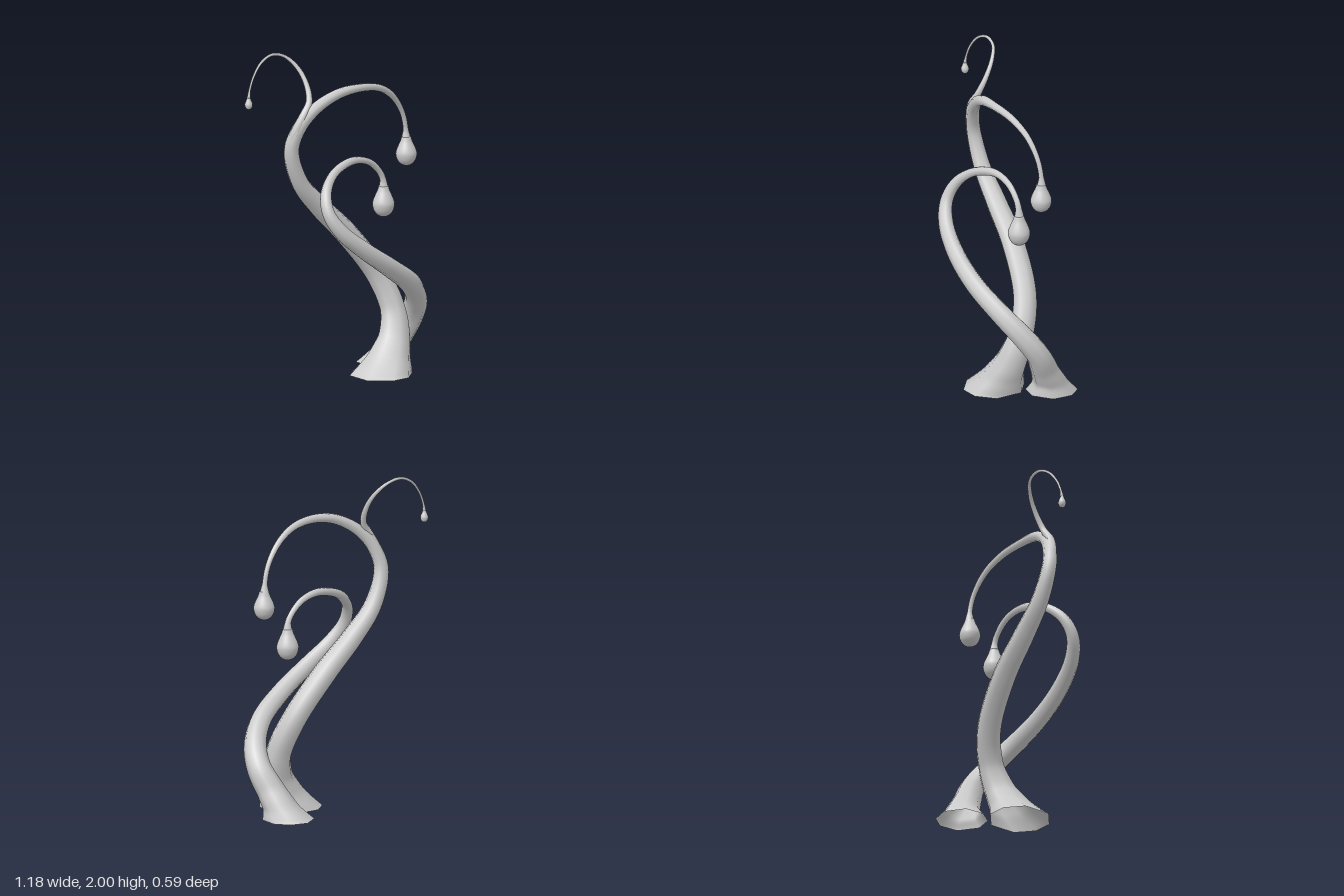
import * as THREE from 'three';

const SIDES = 8;
const material = new THREE.MeshStandardMaterial({ color: 0xcccccc });
const openMaterial = new THREE.MeshStandardMaterial({ color: 0xcccccc, side: THREE.DoubleSide });

// Tapering open tube along [x, y, z, radius] points; a rooted one ends level on the ground.
// Phase turns the cross-section, in fractions of a side.
function taperedTube(name, points, segments, rooted, phase) {
  const path = new THREE.CatmullRomCurve3(points.map(([x, y, z]) => new THREE.Vector3(x, y, z)));
  const radii = points.map((p) => p[3]);
  const frames = path.computeFrenetFrames(segments, false);
  const positions = [];
  const indices = [];
  const dir = new THREE.Vector3();
  const flat = new THREE.Vector3();

  for (let i = 0; i <= segments; i++) {
    const u = i / segments;
    const centre = path.getPointAt(u);
    const s = path.getUtoTmapping(u) * (radii.length - 1);
    const k = Math.min(Math.floor(s), radii.length - 2);
    const radius = THREE.MathUtils.lerp(radii[k], radii[k + 1], s - k);
    for (let j = 0; j < SIDES; j++) {
      const a = ((j + phase) / SIDES) * Math.PI * 2;
      dir.copy(frames.normals[i]).multiplyScalar(Math.cos(a));
      dir.addScaledVector(frames.binormals[i], Math.sin(a));
      // Level the rings towards the ground
      if (rooted) {
        flat.set(dir.x, 0, dir.z).normalize();
        dir.lerp(flat, 1 - THREE.MathUtils.smoothstep(u, 0, 0.13));
      }
      positions.push(
        centre.x + dir.x * radius,
        Math.max(0, centre.y + dir.y * radius),
        centre.z + dir.z * radius
      );
      if (i < segments) {
        const n = (j + 1) % SIDES;
        const p = i * SIDES;
        const q = p + SIDES;
        indices.push(p + j, p + n, q + j, p + n, q + n, q + j);
      }
    }
  }

  const geometry = new THREE.BufferGeometry();
  geometry.setAttribute('position', new THREE.Float32BufferAttribute(positions, 3));
  geometry.setIndex(indices);
  geometry.computeVertexNormals();
  const mesh = new THREE.Mesh(geometry, openMaterial);
  mesh.name = name;
  return mesh;
}

// Hanging teardrop: bottom at y, given greatest radius and height
function teardrop(name, x, y, z, radius, height) {
  const outline = [
    [0, 0], [0.3, 0.02], [0.62, 0.09], [0.88, 0.22], [1, 0.4],
    [0.93, 0.54], [0.75, 0.7], [0.56, 0.85], [0.43, 1],
  ].map(([r, h]) => new THREE.Vector2(r * radius, h * height));
  const profile = new THREE.SplineCurve(outline).getPoints(24);
  profile.forEach((p) => { p.x = Math.max(0, p.x); });
  profile.push(new THREE.Vector2(0, height));
  const mesh = new THREE.Mesh(new THREE.LatheGeometry(profile, 24), material);
  mesh.position.set(x, y, z);
  mesh.name = name;
  return mesh;
}

export function createModel() {
  const model = new THREE.Group();
  model.name = 'twistedStalks';

  // Tall stalk, arching over to its left
  model.add(taperedTube('tallStalk', [
    [0.185, 0, 0.115, 0.191], [0.26, 0.1, 0.107, 0.134], [0.322, 0.21, 0.088, 0.1],
    [0.352, 0.37, 0.04, 0.08], [0.295, 0.58, -0.035, 0.075], [0.104, 0.84, -0.095, 0.072],
    [-0.1, 1.04, -0.122, 0.064], [-0.25, 1.21, -0.133, 0.054], [-0.325, 1.42, -0.125, 0.045],
    [-0.29, 1.56, -0.09, 0.041], [-0.2, 1.67, -0.044, 0.036], [-0.07, 1.742, 0.002, 0.031],
    [0.08, 1.762, 0.03, 0.025], [0.25, 1.735, 0.028, 0.022], [0.38, 1.66, 0.014, 0.019],
    [0.47, 1.54, 0.004, 0.016], [0.5, 1.435, 0, 0.016], [0.502, 1.38, 0, 0.03],
  ], 110, true, 0.38));
  model.add(teardrop('tallStalkDrop', 0.502, 1.213, 0.003, 0.064, 0.176));

  // Short stalk, winding round the front of the tall one
  model.add(taperedTube('shortStalk', [
    [0.428, 0, -0.133, 0.157], [0.458, 0.07, -0.1, 0.111], [0.485, 0.17, -0.038, 0.087],
    [0.512, 0.3, 0.038, 0.074], [0.47, 0.42, 0.12, 0.068], [0.36, 0.54, 0.19, 0.064],
    [0.15, 0.68, 0.232, 0.058], [-0.05, 0.815, 0.222, 0.052], [-0.2, 0.945, 0.18, 0.045],
    [-0.26, 1.06, 0.13, 0.038], [-0.235, 1.17, 0.08, 0.033], [-0.14, 1.258, 0.035, 0.028],
    [0, 1.307, 0.01, 0.025], [0.1, 1.312, 0.005, 0.022], [0.2, 1.28, 0.007, 0.02],
    [0.275, 1.21, 0.012, 0.018], [0.299, 1.16, 0.015, 0.02], [0.302, 1.115, 0.015, 0.03],
  ], 100, true, 0.1));
  model.add(teardrop('shortStalkDrop', 0.302, 0.933, 0.015, 0.067, 0.189));

  // Thin tendril branching off the tall stalk and curling to its right
  model.add(taperedTube('tendril', [
    [-0.325, 1.42, -0.13, 0.036], [-0.32, 1.52, -0.102, 0.034], [-0.278, 1.63, -0.073, 0.026],
    [-0.225, 1.71, -0.078, 0.02], [-0.206, 1.81, -0.123, 0.016], [-0.222, 1.9, -0.18, 0.013],
    [-0.275, 1.968, -0.233, 0.01], [-0.36, 1.991, -0.253, 0.009], [-0.45, 1.958, -0.254, 0.008],
    [-0.52, 1.882, -0.249, 0.007], [-0.557, 1.8, -0.246, 0.007], [-0.565, 1.758, -0.244, 0.011],
  ], 70, false, 0.5));
  model.add(teardrop('tendrilDrop', -0.565, 1.688, -0.244, 0.024, 0.073));

  return model;
}
